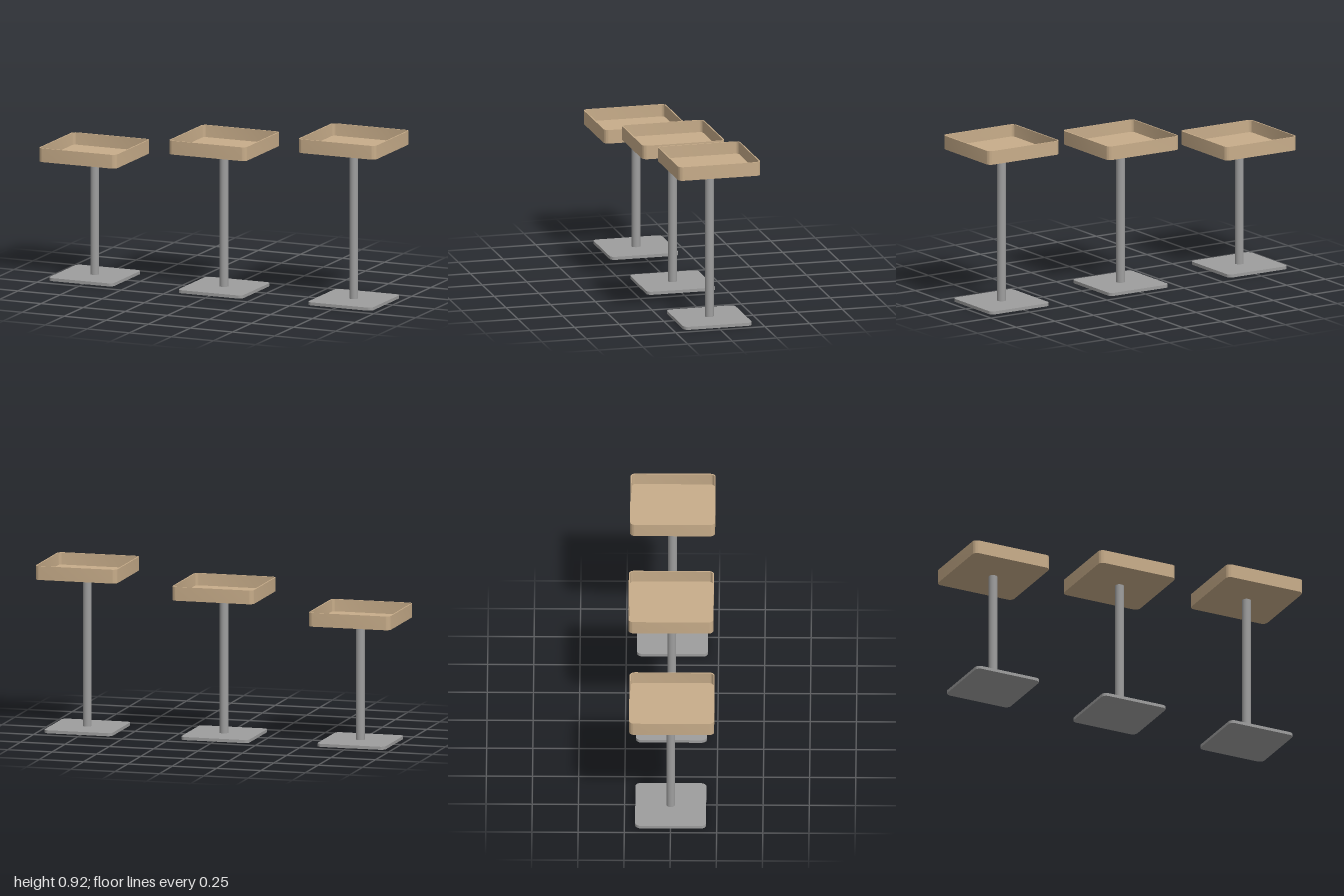
import * as THREE from 'three';
import { toCreasedNormals } from 'three/addons/utils/BufferGeometryUtils.js';

// Rounded square outline, centred on the origin
function roundedSquare(size, r, Type = THREE.Shape) {
  const h = size / 2, c = h - r, s = new Type();
  s.moveTo(h, -c);
  s.absarc(c, c, r, 0, Math.PI / 2);
  s.absarc(-c, c, r, Math.PI / 2, Math.PI);
  s.absarc(-c, -c, r, Math.PI, Math.PI * 1.5);
  s.absarc(c, -c, r, Math.PI * 1.5, Math.PI * 2);
  s.closePath();
  return s;
}

// Extrude an outline upward from y
function slab(shape, y, height) {
  const g = new THREE.ExtrudeGeometry(shape, { depth: height, bevelEnabled: false, curveSegments: 6 });
  g.rotateX(-Math.PI / 2);
  g.translate(0, y, 0);
  return toCreasedNormals(g, 0.6);
}

export function createModel() {
  const wood = new THREE.MeshStandardMaterial({ color: 0xc8ad8a });
  wood.name = 'lightWood';
  const metal = new THREE.MeshStandardMaterial({ color: 0x9e9e9e });
  metal.name = 'greyMetal';

  const model = new THREE.Group();
  model.name = 'trayTables';
  const add = (parent, name, geometry, material) => {
    const mesh = new THREE.Mesh(geometry, material);
    mesh.name = name;
    parent.add(mesh);
    return mesh;
  };

  const baseTop = 0.017, trayHeight = 0.076, floor = 0.009, wall = 0.007, traySize = 0.461;

  // Three stands of rising height: x, underside of tray, small tray offset in z
  const stands = [
    ['lowTable', -0.77, 0.664, 0.006],
    ['middleTable', -0.002, 0.771, -0.003],
    ['highTable', 0.769, 0.847, 0.001],
  ];
  for (const [name, x, y, z] of stands) {
    const table = new THREE.Group();
    table.name = name;
    table.position.x = x;
    model.add(table);

    // Flat foot plate and round post
    add(table, 'basePlate', slab(roundedSquare(0.384, 0.028), 0, baseTop), metal);
    const post = new THREE.CylinderGeometry(0.024, 0.024, y - baseTop, 24);
    add(table, 'post', post, metal).position.y = (y + baseTop) / 2;

    // Open tray: floor plate with a thin raised rim
    const tray = new THREE.Group();
    tray.name = 'tray';
    tray.position.set(0, y, z);
    table.add(tray);
    add(tray, 'trayFloor', slab(roundedSquare(traySize, 0.028), 0, floor), wood);
    const rim = roundedSquare(traySize, 0.028);
    rim.holes.push(roundedSquare(traySize - wall * 2, 0.021, THREE.Path));
    add(tray, 'trayRim', slab(rim, floor, trayHeight - floor), wood);
  }
  return model;
}
